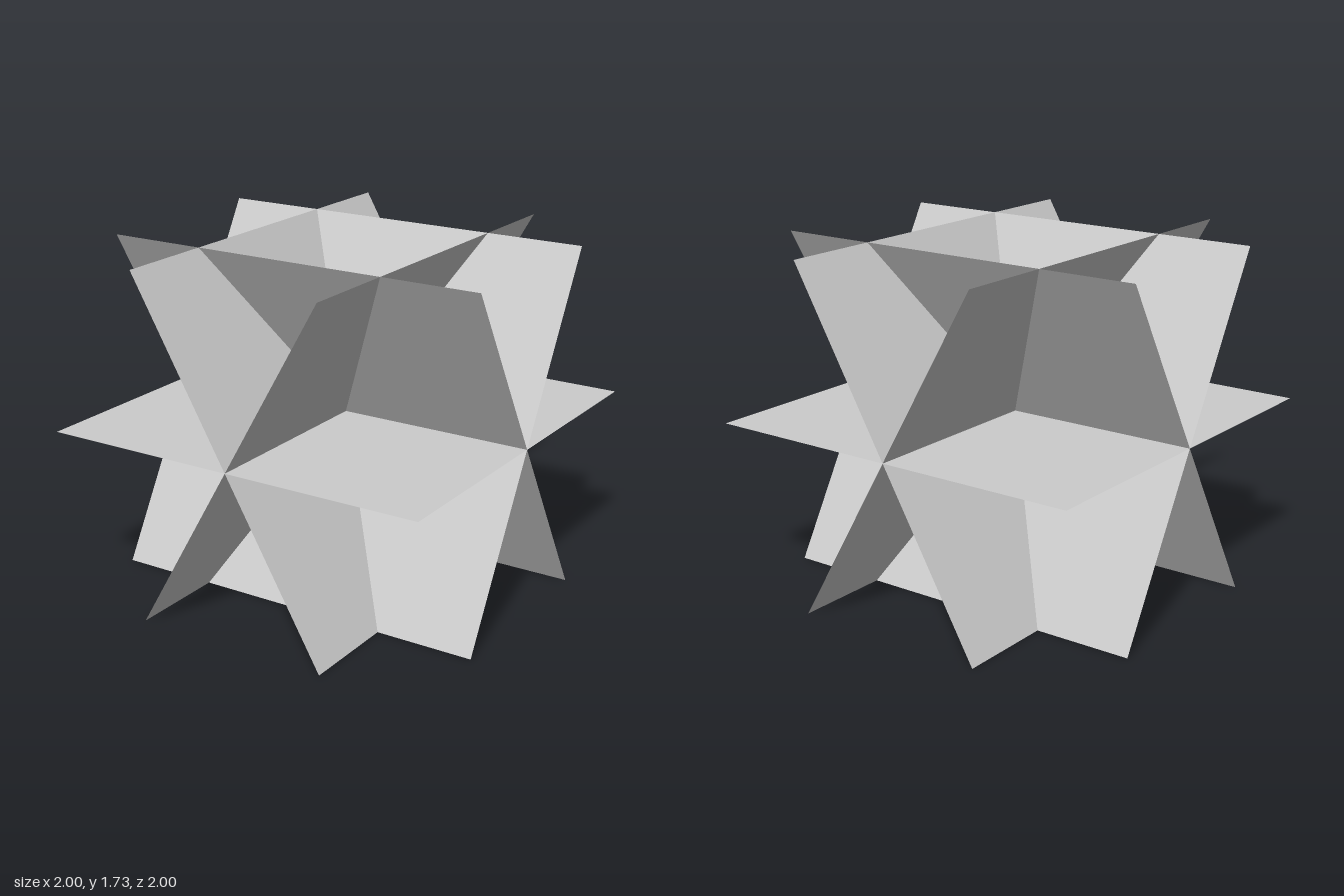
import * as THREE from 'three';

// Star of five crossing square sheets sharing one centre
export function createModel() {
  const group = new THREE.Group();
  group.name = 'crossedSquares';
  const material = new THREE.MeshStandardMaterial({
    color: 0xcccccc, side: THREE.DoubleSide, flatShading: true,
  });
  const height = Math.sqrt(3) / 2; // centre height: the tilted sheets stand on y = 0
  const square = new THREE.PlaneGeometry(2, 2).rotateX(-Math.PI / 2);

  const addSheet = (name, tiltX, tiltZ) => {
    const sheet = new THREE.Mesh(square, material);
    sheet.name = name;
    sheet.rotation.set(tiltX, 0, tiltZ);
    sheet.position.y = height;
    group.add(sheet);
  };

  // Level sheet
  addSheet('levelSheet', 0, 0);

  // Sheets tilted 60 degrees each way about the x and z axes
  for (const [side, sign] of [['A', 1], ['B', -1]]) {
    addSheet('sheetAboutX' + side, sign * Math.PI / 3, 0);
    addSheet('sheetAboutZ' + side, 0, sign * Math.PI / 3);
  }
  return group;
}
